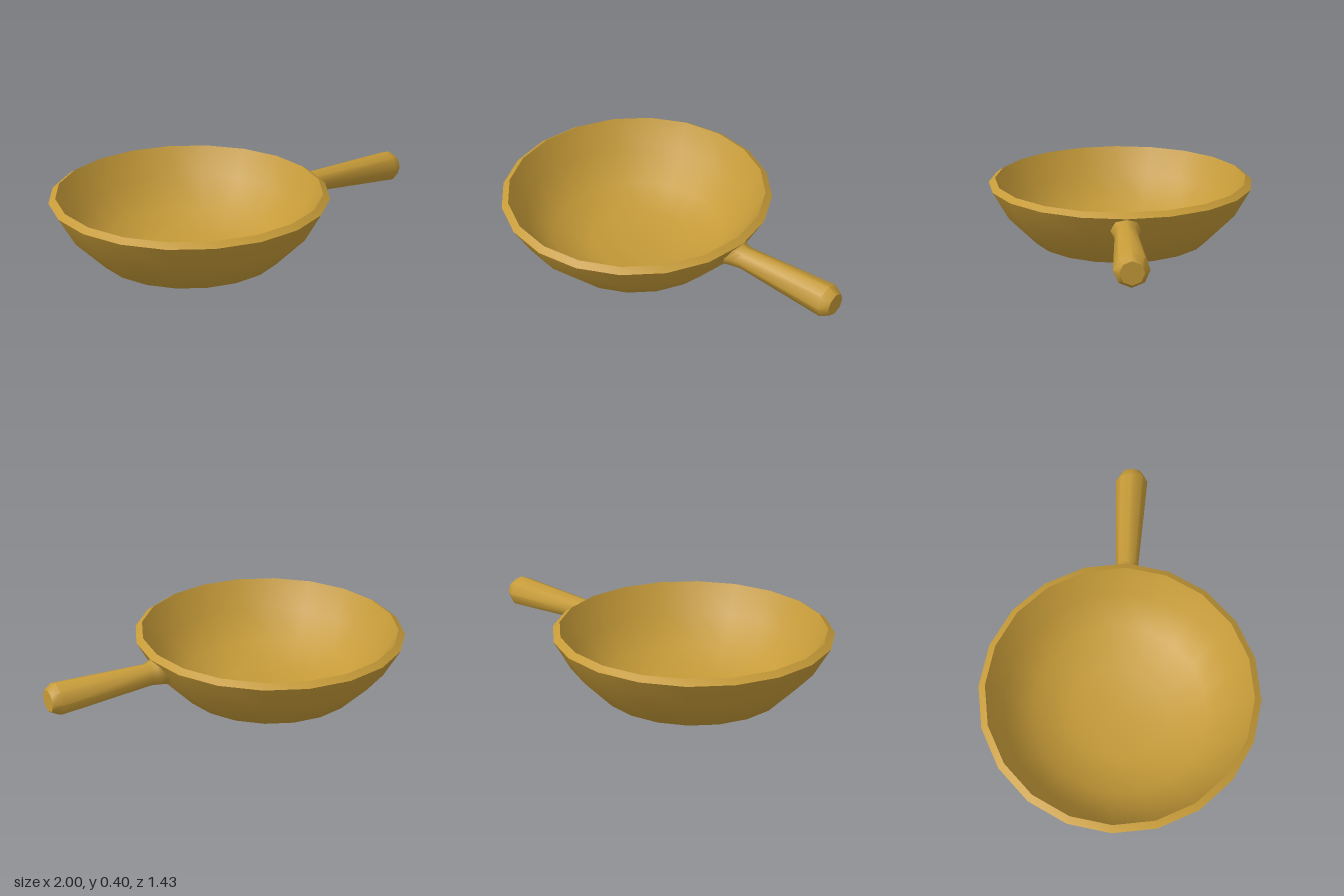
import * as THREE from 'three';
import { toCreasedNormals } from 'three/addons/utils/BufferGeometryUtils.js';

const CREASE = 0.9; // smooth walls, sharp rim and end cap

function lathe(profile, sides) {
  return new THREE.LatheGeometry(profile.map(([r, y]) => new THREE.Vector2(r, y)), sides);
}

export function createModel() {
  const model = new THREE.Group();
  const material = new THREE.MeshStandardMaterial({ color: 0xc59a38 });

  function addPart(name, geometry) {
    const mesh = new THREE.Mesh(toCreasedNormals(geometry, CREASE), material);
    mesh.name = name;
    model.add(mesh);
    return mesh;
  }

  // Bowl: outer wall up, slanted rim, inner wall back down
  const bowl = lathe([
    [0, 0], [0.27, 0], [0.48, 0.072], [0.632, 0.23], [0.715, 0.38],
    [0.68, 0.403], [0.597, 0.254], [0.458, 0.108], [0.262, 0.041], [0, 0.041],
  ], 20);
  addPart('bowl', bowl).position.x = -0.285;

  // Handle: flared root, tapered grip, bevelled end
  const handle = lathe([
    [0.078, 0.375], [0.068, 0.41], [0.059, 0.455], [0.085, 0.955], [0.058, 1], [0, 1],
  ], 8);
  handle.rotateZ(-Math.PI / 2);

  // Slant the root rings to follow the sloping bowl wall
  const p = handle.attributes.position;
  for (let i = 0; i < p.count; i++) {
    const x = p.getX(i);
    const slant = x < 0.39 ? 0.57 : x < 0.43 ? 0.3 : 0;
    p.setX(i, x + slant * p.getY(i));
  }
  addPart('handle', handle).position.y = 0.305;

  return model;
}
